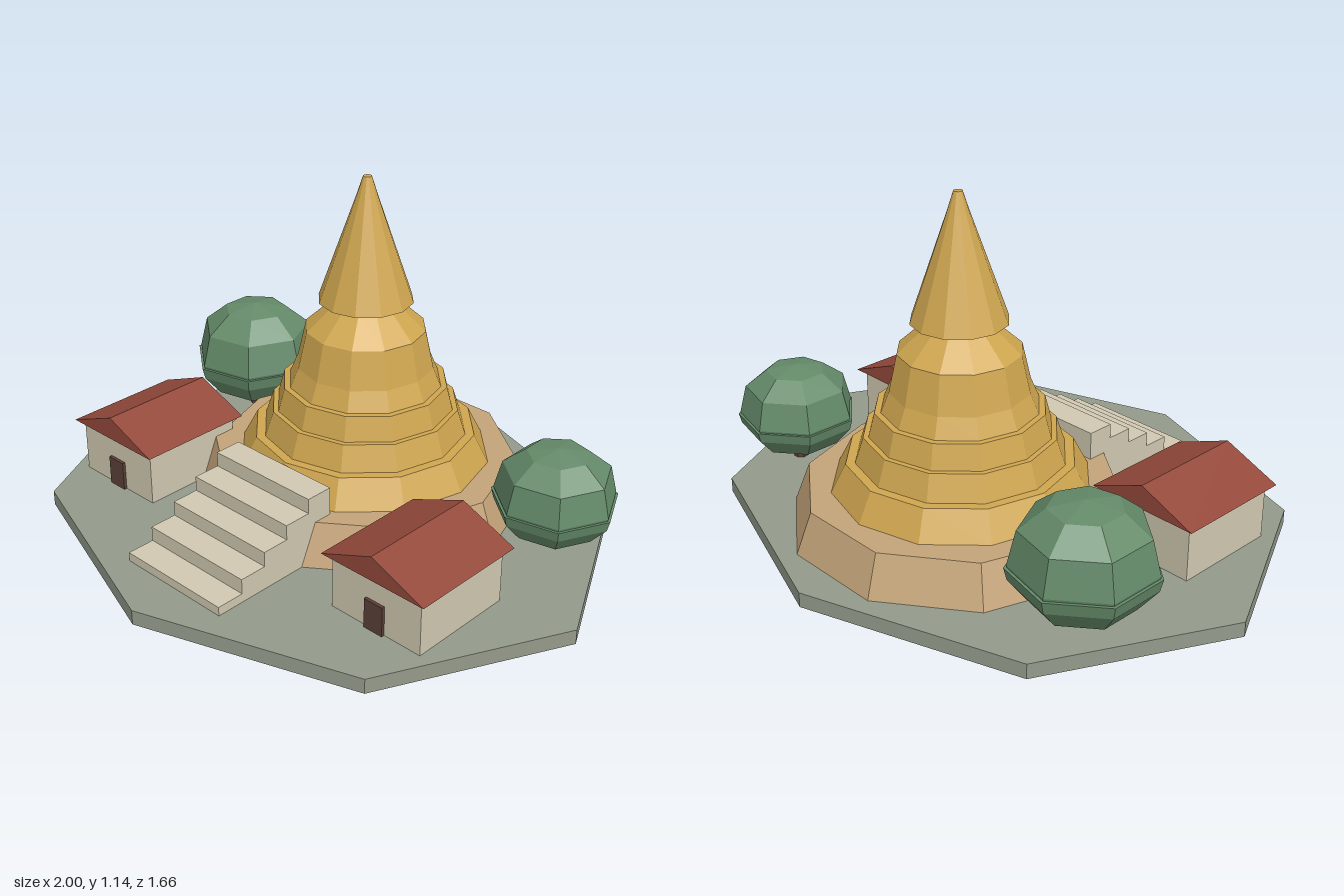
import * as THREE from 'three';

const mat = (color) => new THREE.MeshStandardMaterial({ color, flatShading: true });
const stone = mat(0x939a8a), sand = mat(0xc4a479), gold = mat(0xcfa650), plaster = mat(0xd0c8b0);
const tile = mat(0x94493b), wood = mat(0x5c4038), leaf = mat(0x648a69);

function add(parent, name, geometry, material, x = 0, y = 0, z = 0) {
  const mesh = new THREE.Mesh(geometry, material);
  mesh.name = name;
  mesh.position.set(x, y, z);
  parent.add(mesh);
  return mesh;
}

// Faceted turned shape; profile runs from bottom to top as [radius, y]
function turned(profile, sides, start = 0) {
  return new THREE.LatheGeometry(profile.map(([r, y]) => new THREE.Vector2(r, y)), sides, start);
}

// Small house with gabled roof and a front door
function house(side) {
  const g = new THREE.Group();
  g.name = side > 0 ? 'leftHouse' : 'rightHouse';
  add(g, 'walls', new THREE.BoxGeometry(0.34, 0.185, 0.365), plaster, 0, 0.1425, 0);
  const gable = new THREE.Shape([
    new THREE.Vector2(-0.195, 0), new THREE.Vector2(0.195, 0), new THREE.Vector2(0, 0.08),
  ]);
  const roof = new THREE.ExtrudeGeometry(gable, { depth: 0.41, bevelEnabled: false });
  add(g, 'roof', roof, tile, 0, 0.235, -0.205);
  add(g, 'door', new THREE.BoxGeometry(0.07, 0.1, 0.03), wood, 0, 0.1, 0.178);
  g.position.set(0.58 * side, 0, 0.222);
  return g;
}

// Seven-sided tree with a domed crown over a tapered lower skirt
function tree(name, x, z, scale, heightScale) {
  const g = new THREE.Group();
  g.name = name;
  add(g, 'trunk', new THREE.CylinderGeometry(0.022, 0.026, 0.14, 7), wood, 0, 0.03, 0);
  add(g, 'lowerCrown', turned([[0, 0.07], [0.14, 0.07], [0.194, 0.133], [0.203, 0.168], [0, 0.168]], 7, Math.PI / 2), leaf);
  add(g, 'upperCrown', turned([[0, 0.155], [0.19, 0.155], [0.196, 0.175], [0.172, 0.27], [0.1, 0.327], [0, 0.346]], 7, Math.PI / 2), leaf);
  g.scale.set(scale, heightScale, scale);
  g.position.set(x, 0.05, z);
  return g;
}

export function createModel() {
  const model = new THREE.Group();
  model.name = 'stupa';

  // Eight-sided ground slab
  const slab = add(model, 'groundSlab', new THREE.CylinderGeometry(1, 1, 0.05, 8), stone, 0, 0.025, 0);
  slab.scale.z = 0.83;

  // Stupa: ten-sided plinth, stepped bell and spire
  const stupa = new THREE.Group();
  stupa.name = 'stupaBody';
  stupa.position.z = -0.18;
  model.add(stupa);
  const plinth = add(stupa, 'plinth', new THREE.CylinderGeometry(0.505, 0.557, 0.135, 10), sand, 0, 0.1175, 0);
  plinth.rotation.y = Math.PI / 10;
  add(stupa, 'tieredBell', turned([
    [0, 0.18], [0.42, 0.18], [0.368, 0.28], [0.338, 0.28], [0.31, 0.365], [0.293, 0.365],
    [0.272, 0.445], [0.252, 0.445], [0.225, 0.51], [0.197, 0.635], [0.11, 0.715], [0.065, 0.73], [0, 0.73],
  ], 12), gold);
  add(stupa, 'spire', turned([[0, 0.73], [0.155, 0.73], [0.035, 1.075], [0.014, 1.14], [0, 1.14]], 12), gold);

  // Front stairway, lowest step first
  const stairs = new THREE.Group();
  stairs.name = 'stairs';
  model.add(stairs);
  for (let i = 0; i < 5; i++) {
    const h = 0.03 + 0.05 * i;
    add(stairs, 'step', new THREE.BoxGeometry(0.41, h, 0.094), plaster, 0, 0.05 + h / 2, 0.623 - 0.094 * i);
  }

  for (const side of [-1, 1]) model.add(house(side));
  model.add(tree('leftTree', 0.682, -0.315, 1, 1));
  model.add(tree('rightTree', -0.68, -0.335, 1.125, 1.17));
  return model;
}
